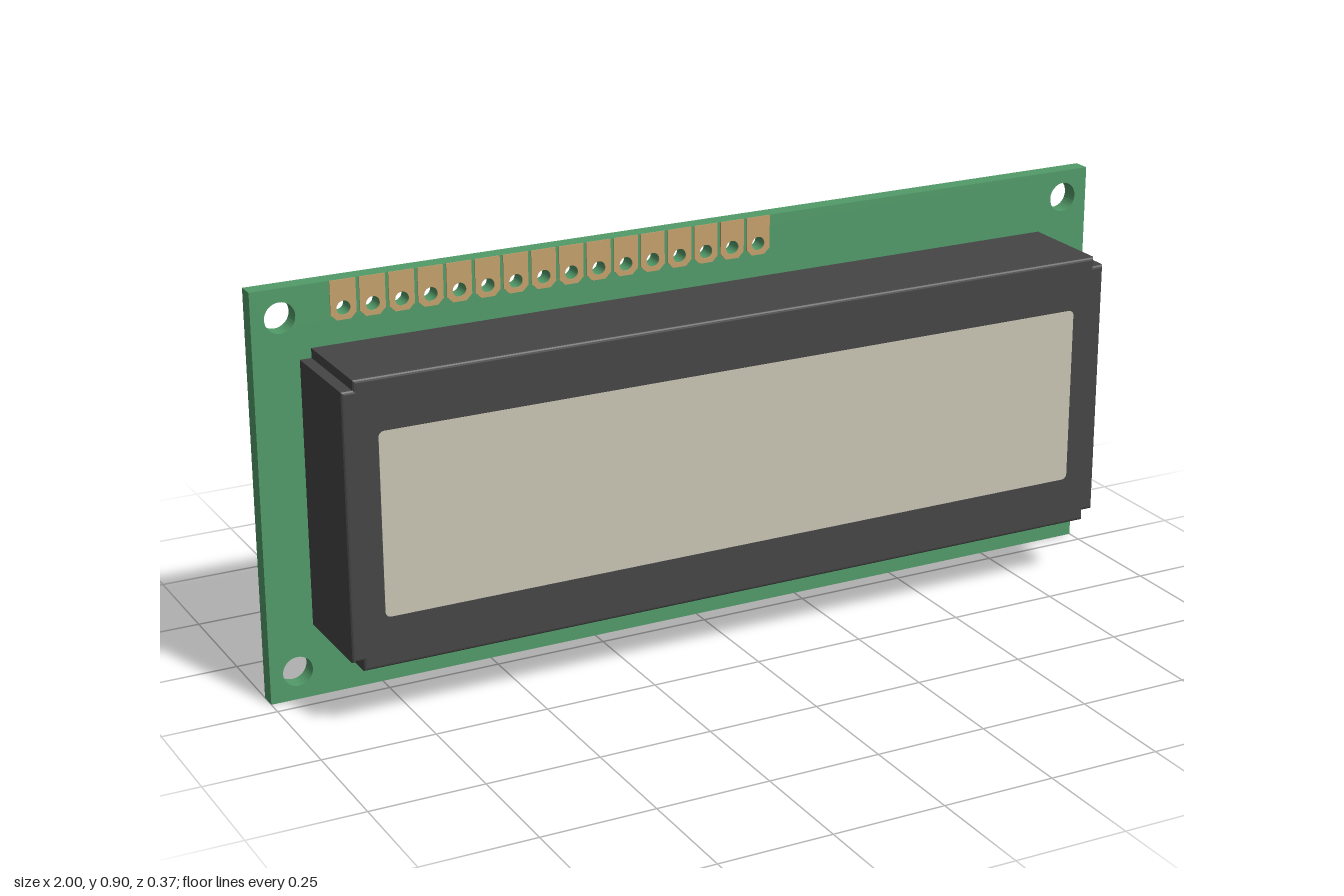
import * as THREE from 'three';

const mat = (name, color) => {
  const m = new THREE.MeshStandardMaterial({ color });
  m.name = name;
  return m;
};

const polygon = (pts) => new THREE.Shape(pts.map(([x, y]) => new THREE.Vector2(x, y)));

const circleHole = (x, y, r) => new THREE.Path().absarc(x, y, r, 0, Math.PI * 2, true);

// Extrude a shape along z, from z0 to z1
const slab = (shape, z0, z1, curveSegments = 16) => {
  const g = new THREE.ExtrudeGeometry(shape, { depth: z1 - z0, bevelEnabled: false, curveSegments });
  return g.translate(0, 0, z0);
};

export function createModel() {
  const green = mat('boardGreen', 0x529b69);
  const dark = mat('darkPlastic', 0x454545);
  const glass = mat('screenGrey', 0xc8c4b4);
  const copper = mat('padCopper', 0xc4a06c);

  const model = new THREE.Group();
  model.name = 'displayModule';
  const add = (name, geometry, material, parent = model) => {
    const mesh = new THREE.Mesh(geometry, material);
    mesh.name = name;
    parent.add(mesh);
    return mesh;
  };

  const boardBack = -0.075, boardFront = -0.037;
  const padXs = Array.from({ length: 16 }, (_, i) => -0.803 + i * 0.0635);
  const padY = 0.84, padHole = 0.015;

  // Circuit board with mounting holes and pin holes
  const board = polygon([[-1, 0], [1, 0], [1, 0.9], [-1, 0.9]]);
  for (const x of [-0.938, 0.938])
    for (const y of [0.063, 0.838]) board.holes.push(circleHole(x, y, 0.033));
  for (const x of padXs) board.holes.push(circleHole(x, padY, padHole));
  add('circuitBoard', slab(board, boardBack, boardFront), green);

  // Row of solder pads with chamfered lower corners
  const pads = new THREE.Group();
  pads.name = 'solderPads';
  model.add(pads);
  for (const x of padXs) {
    const w = 0.028, c = 0.013, y0 = 0.815;
    const pad = polygon([
      [x - w + c, y0], [x + w - c, y0], [x + w, y0 + c],
      [x + w, 0.9], [x - w, 0.9], [x - w, y0 + c],
    ]);
    pad.holes.push(circleHole(x, padY, padHole));
    add('solderPad', slab(pad, boardFront, -0.0345), copper, pads);
  }

  // Display housing: notched corners and softened front edge
  const b = 0.007;
  const X = 0.9 - b, x = 0.875 - b;
  const bottom = 0.14 + b, top = 0.765 - b, low = 0.163 + b, high = 0.744 - b;
  const outline = polygon([
    [-x, bottom], [x, bottom], [x, low], [X, low], [X, high], [x, high],
    [x, top], [-x, top], [-x, high], [-X, high], [-X, low], [-x, low],
  ]);
  const frontZ = 0.186, rear = -0.055;
  const housing = new THREE.ExtrudeGeometry(outline, {
    depth: frontZ - rear - 2 * b, bevelEnabled: true,
    bevelSize: b, bevelThickness: b, bevelSegments: 3,
  });
  add('displayHousing', housing.translate(0, 0, rear + b), dark);

  // Screen plate with small rounded corners
  const sx = 0.825, y0 = 0.25, y1 = 0.65, r = 0.012;
  const screen = new THREE.Shape();
  screen.absarc(sx - r, y0 + r, r, -Math.PI / 2, 0);
  screen.absarc(sx - r, y1 - r, r, 0, Math.PI / 2);
  screen.absarc(-sx + r, y1 - r, r, Math.PI / 2, Math.PI);
  screen.absarc(-sx + r, y0 + r, r, Math.PI, Math.PI * 1.5);
  add('screen', slab(screen, frontZ - 0.002, frontZ + 0.001, 4), glass);

  // Two long rails on the back, slightly offset from each other
  for (const [name, cx, cy] of [['upperRail', -0.022, 0.75], ['lowerRail', 0, 0.148]]) {
    const rail = new THREE.BoxGeometry(1.7, 0.024, 0.112);
    add(name, rail.translate(cx, cy, boardBack - 0.056), dark);
  }

  return model;
}
